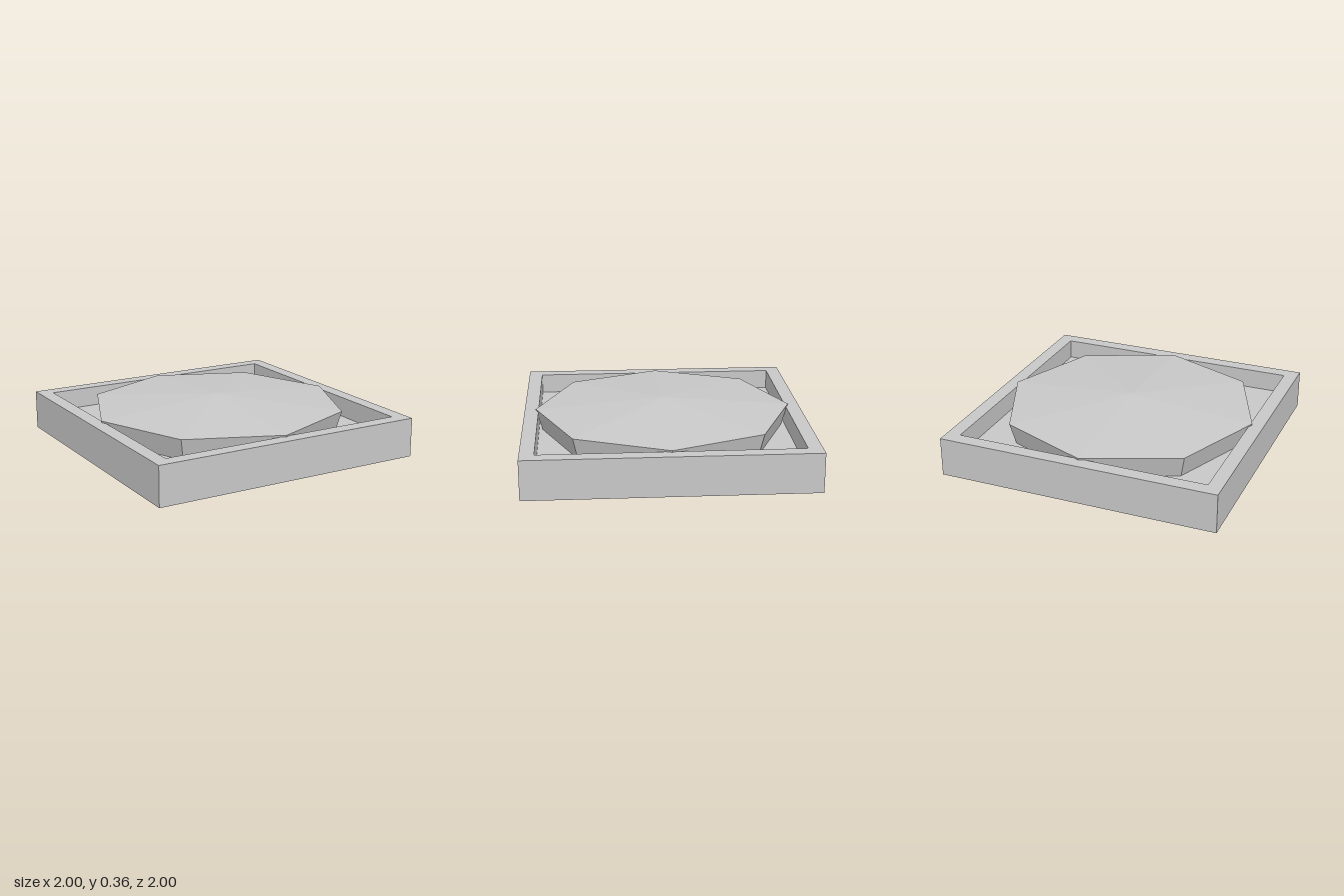
import * as THREE from 'three';

const stone = new THREE.MeshStandardMaterial({ color: 0xc8c8c8, flatShading: true });
stone.name = 'light grey';

// Faceted solid: a profile of [radius, height] pairs, bottom to top, turned with few sides
function facetedSolid(name, profile, sides, phiStart, radiusScale = 1) {
  const points = profile.map(([r, y]) => new THREE.Vector2(r * radiusScale, y));
  const mesh = new THREE.Mesh(new THREE.LatheGeometry(points, sides, phiStart), stone);
  mesh.name = name;
  return mesh;
}

export function createModel() {
  const group = new THREE.Group();
  group.name = 'trayWithDome';

  const floorY = 0.137;

  // Square tray with a raised wall; radii are half widths, scaled out to the corners
  group.add(facetedSolid('tray', [
    [0, 0], [1, 0], [1, 0.28], [0.9, 0.28], [0.9, floorY], [0, floorY],
  ], 4, Math.PI / 4, Math.SQRT2));

  // Eight-sided block, flaring upward to a shallow pointed top
  group.add(facetedSolid('octagonalDome', [
    [0, floorY], [0.875, floorY], [0.92, 0.293], [0, 0.364],
  ], 8, 0));

  return group;
}
